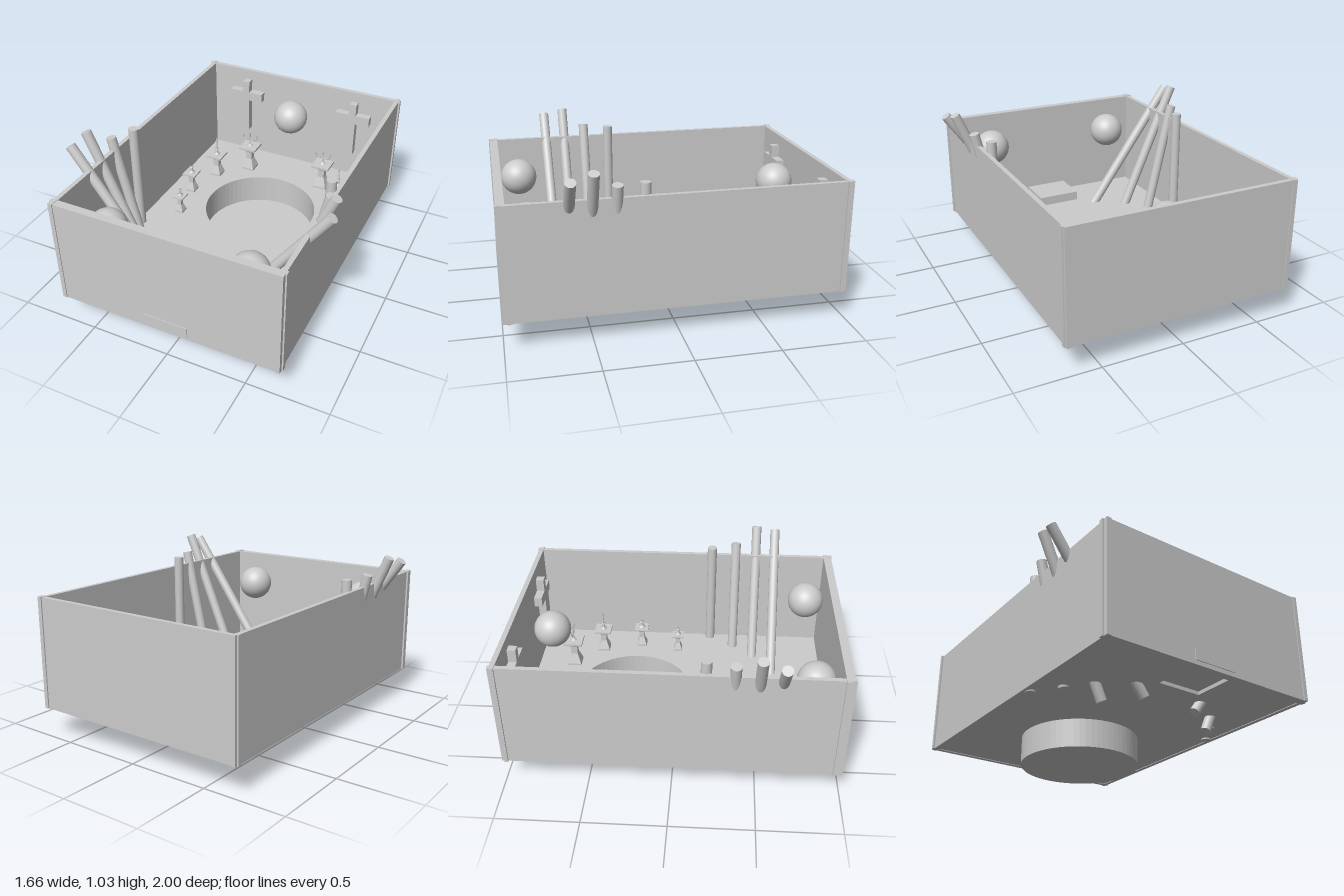
import * as THREE from 'three';

const mat = new THREE.MeshStandardMaterial({ color: 0xcccccc, side: THREE.DoubleSide });
const flat = new THREE.MeshStandardMaterial({ color: 0xcccccc, side: THREE.DoubleSide, flatShading: true });

function add(parent, name, geometry, x = 0, y = 0, z = 0, material = mat) {
  const mesh = new THREE.Mesh(geometry, material);
  mesh.name = name;
  mesh.position.set(x, y, z);
  parent.add(mesh);
  return mesh;
}

// Box given by its lower and upper limits on each axis
function block(parent, name, x0, x1, y0, y1, z0, z1) {
  return add(parent, name, new THREE.BoxGeometry(x1 - x0, y1 - y0, z1 - z0),
    (x0 + x1) / 2, (y0 + y1) / 2, (z0 + z1) / 2);
}

// Round rod between two points
function rod(parent, name, a, b, r, sides = 24) {
  const dir = b.clone().sub(a);
  const mesh = add(parent, name, new THREE.CylinderGeometry(r, r, dir.length(), sides));
  mesh.position.copy(a).add(b).multiplyScalar(0.5);
  mesh.quaternion.setFromUnitVectors(new THREE.Vector3(0, 1, 0), dir.normalize());
  return mesh;
}

// Square-section turned shape; profile is [half width, height]
function squareLathe(profile) {
  const pts = profile.map(([w, y]) => new THREE.Vector2(w * Math.SQRT2, y));
  return new THREE.LatheGeometry(pts, 4, Math.PI / 4);
}

const FLOOR = 0.2, BASE = 0.172, TOP = 0.85;
const PIT = { z: -0.287, r: 0.37 };

function pedestal(name, x, z, half, plateY, kind) {
  const g = new THREE.Group();
  g.name = name;
  g.position.set(x, FLOOR, z);
  const h = plateY - FLOOR, foot = half * 0.72, neck = half * 0.36;
  add(g, 'pedestalStand', squareLathe([
    [0, -0.02], [foot, -0.02], [foot, 0.012], [neck, h * 0.45], [neck, h * 0.75],
    [half * 0.6, h * 0.9], [half, h * 0.92], [half, h], [0, h],
  ]), 0, 0, 0, flat);

  if (kind === 'branched') {
    // slim stem with two upturned arms
    rod(g, 'stem', new THREE.Vector3(0, h, 0), new THREE.Vector3(0, h + 0.11, 0), 0.004, 8);
    add(g, 'stemFoot', new THREE.CylinderGeometry(0.008, 0.02, 0.015, 16), 0, h + 0.007, 0);
    for (const s of [-1, 1]) {
      const arm = new THREE.CatmullRomCurve3([
        [0, 0.055], [0.025, 0.045], [0.048, 0.06], [0.055, 0.09],
      ].map(([ax, ay]) => new THREE.Vector3(s * ax, h + ay, 0)));
      add(g, 'arm', new THREE.TubeGeometry(arm, 12, 0.004, 6));
    }
  } else {
    // small turned cup, with a spike on the taller one
    const r = kind === 'spike' ? 0.022 : half * 0.52;
    const cup = [[r, 0], [r, 0.006], [r * 0.45, 0.014], [r * 0.4, 0.03], [r * 0.6, 0.045], [0, 0.045]];
    add(g, 'cup', new THREE.LatheGeometry(cup.map(p => new THREE.Vector2(...p)), 20), 0, h, 0);
    if (kind === 'spike') {
      add(g, 'spike', new THREE.CylinderGeometry(0.003, 0.007, 0.09, 12), 0, h + 0.085, 0);
    }
  }
  return g;
}

export function createModel() {
  const model = new THREE.Group();
  model.name = 'walledCourt';

  // Floor slab with a round opening and a rectangular slot at the front
  const shape = new THREE.Shape();
  shape.moveTo(-0.68, -0.97).lineTo(0.68, -0.97).lineTo(0.68, 0.97).lineTo(-0.68, 0.97).closePath();
  const round = new THREE.Path();
  round.absarc(0, -PIT.z, PIT.r, 0, Math.PI * 2, true);
  const slot = new THREE.Path();
  slot.moveTo(-0.14, -0.94).lineTo(-0.14, -0.7).lineTo(0.14, -0.7).lineTo(0.14, -0.94).closePath();
  shape.holes.push(round, slot);
  const slab = new THREE.ExtrudeGeometry(shape, { depth: FLOOR - BASE - 0.004, bevelEnabled: false, curveSegments: 48 });
  slab.rotateX(-Math.PI / 2);
  add(model, 'floor', slab, 0, BASE + 0.004, 0);

  // Sunken round basin
  const basin = [[0, 0], [PIT.r, 0], [PIT.r, 0], [PIT.r, FLOOR]].map(p => new THREE.Vector2(...p));
  add(model, 'basin', new THREE.LatheGeometry(basin, 64), 0, 0, PIT.z, flat);

  // Walls
  block(model, 'frontWall', -0.695, 0.695, BASE, TOP, 0.945, 0.995);
  block(model, 'backWall', -0.695, 0.695, BASE, TOP, -0.993, -0.963);
  for (const s of [-1, 1]) {
    const side = block(model, 'sideWall', 0.672, 0.7, BASE, TOP, -0.985, 0.99);
    side.position.x *= s;

    // Stepped corner posts
    for (const [z0, z1, za, zb] of [[0.944, 1.0, 0.944, 0.973], [-1.0, -0.962, -0.984, -0.962]]) {
      block(model, 'cornerPost', 0.675, 0.702, BASE, TOP + 0.003, z0, z1).position.x *= s;
      block(model, 'cornerPost', 0.675, 0.711, BASE, TOP + 0.003, za, zb).position.x *= s;
    }

    // Leaning pipes: [top x, top y, bottom x, bottom y, z]
    for (const [tx, ty, bx, by, z] of [
      [0.65, 0.915, 0.65, 0.168, 0.195],
      [0.705, 0.924, 0.534, 0.168, 0.355],
      [0.78, 1.017, 0.375, 0.078, 0.49],
      [0.805, 0.983, 0.18, 0.108, 0.615],
    ]) {
      rod(model, 'pipe', new THREE.Vector3(s * bx, by, z), new THREE.Vector3(s * tx, ty, z), 0.031);
    }

    // Wall crosses
    const cx = s * 0.404;
    block(model, 'crossUpright', cx - 0.025, cx + 0.025, 0.39, 0.78, -0.965, -0.912);
    block(model, 'crossBar', cx - 0.122, cx + 0.122, 0.635, 0.7, -0.965, -0.912);

    // Pedestals around the basin
    model.add(
      pedestal('branchedPedestal', s * 0.28, -0.722, 0.062, 0.383, 'branched'),
      pedestal('spikePedestal', s * 0.46, -0.545, 0.055, 0.362, 'spike'),
      pedestal('cupPedestal', s * 0.526, -0.284, 0.046, 0.342, 'cup'),
      pedestal('smallPedestal', s * 0.475, -0.026, 0.039, 0.325, 'cup'),
    );

    add(model, 'frontSphere', new THREE.SphereGeometry(0.115, 40, 28), s * 0.442, 0.655, 0.824);
  }
  add(model, 'backSphere', new THREE.SphereGeometry(0.115, 40, 28), 0, 0.655, -0.787);

  // Low block running in through the front wall
  block(model, 'entryBlock', -0.14, 0.14, FLOOR - 0.003, 0.26, 0.7, 1.0);
  return model;
}
